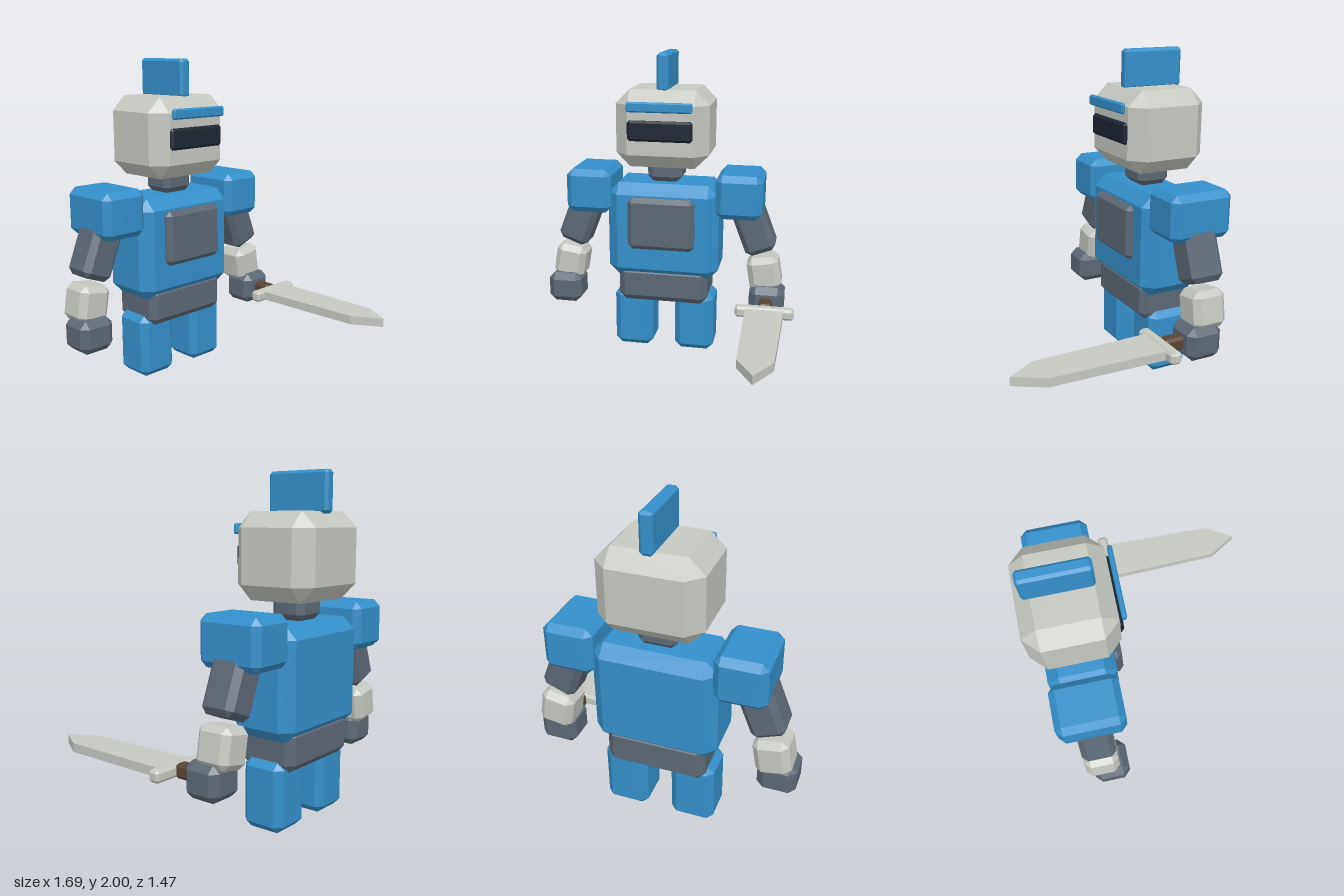
import * as THREE from 'three';
import { ConvexGeometry } from 'three/addons/geometries/ConvexGeometry.js';

function material(name, color) {
  const m = new THREE.MeshStandardMaterial({ color });
  m.name = name;
  return m;
}

// Box with flat chamfered edges and corners
function chamferBox(w, h, d, c) {
  const points = [];
  for (const x of [-w / 2, w / 2]) for (const y of [-h / 2, h / 2]) for (const z of [-d / 2, d / 2]) {
    const ix = x - Math.sign(x) * c, iy = y - Math.sign(y) * c, iz = z - Math.sign(z) * c;
    points.push(new THREE.Vector3(x, iy, iz), new THREE.Vector3(ix, y, iz), new THREE.Vector3(ix, iy, z));
  }
  return new ConvexGeometry(points);
}

export function createModel() {
  const root = new THREE.Group();
  root.name = 'armouredKnight';
  const blue = material('blueArmour', 0x3490cb);
  const slate = material('slateGrey', 0x5c6875);
  const pale = material('paleMetal', 0xc5c9c1);
  const dark = material('darkVisor', 0x1c2632);
  const brown = material('brownGrip', 0x5a4535);

  // Part given by its centre, size and chamfer
  function block(parent, name, mat, [x, y, z], [w, h, d], chamfer, tilt = 0) {
    const mesh = new THREE.Mesh(chamferBox(w, h, d, chamfer), mat);
    mesh.name = name;
    mesh.position.set(x, y, z);
    mesh.rotation.z = tilt;
    parent.add(mesh);
    return mesh;
  }

  // Body group: symmetric about its own x = 0
  const body = new THREE.Group();
  body.name = 'body';
  body.position.set(-0.037, 0, -0.48);
  root.add(body);

  // Head
  block(body, 'helmet', pale, [0, 1.53, 0.002], [0.6, 0.494, 0.516], 0.09);
  block(body, 'crest', blue, [0, 1.882, -0.016], [0.075, 0.236, 0.39], 0.016);
  block(body, 'visor', dark, [0, 1.53, 0.255], [0.415, 0.13, 0.05], 0.015);
  block(body, 'brow', blue, [0, 1.681, 0.287], [0.415, 0.063, 0.028], 0.009);
  block(body, 'neck', slate, [0, 1.26, 0], [0.226, 0.18, 0.215], 0.036);

  // Trunk
  block(body, 'torso', blue, [0, 0.846, 0], [0.735, 0.642, 0.41], 0.07);
  block(body, 'chestPlate', slate, [0, 0.915, 0.217], [0.44, 0.345, 0.07], 0.03);
  block(body, 'waist', slate, [0, 0.475, 0], [0.6, 0.25, 0.36], 0.045);

  // Mirrored limbs
  for (const [side, s] of [['left', 1], ['right', -1]]) {
    block(body, side + 'Leg', blue, [s * 0.208, 0.205, 0], [0.263, 0.41, 0.265], 0.042);
    block(body, side + 'Shoulder', blue, [s * 0.494, 1.103, -0.003], [0.3, 0.287, 0.405], 0.04);
    block(body, side + 'UpperArm', slate, [s * 0.581, 0.894, 0], [0.208, 0.38, 0.212], 0.035, s * 0.37);
    block(body, side + 'Forearm', pale, [s * 0.667, 0.57, 0], [0.21, 0.23, 0.215], 0.038, s * 0.17);
    block(body, side + 'Hand', slate, [s * 0.692, 0.395, 0.05], [0.23, 0.207, 0.228], 0.043);
  }

  // Sword held forward in the left hand
  const sword = new THREE.Group();
  sword.name = 'sword';
  sword.position.set(0.655, 0.396, 0);
  root.add(sword);
  block(sword, 'grip', brown, [0, 0, -0.305], [0.082, 0.082, 0.21], 0.015);
  block(sword, 'crossguard', pale, [0, 0, -0.181], [0.375, 0.072, 0.072], 0.016);

  const outline = new THREE.Shape([
    [-0.121, -0.15], [0.121, -0.15], [0.104, 0.56], [0, 0.735], [-0.104, 0.56],
  ].map(([x, z]) => new THREE.Vector2(x, z)));
  const bladeGeometry = new THREE.ExtrudeGeometry(outline, { depth: 0.054, bevelEnabled: false });
  bladeGeometry.rotateX(Math.PI / 2).translate(0, 0.027, 0);
  const blade = new THREE.Mesh(bladeGeometry, pale);
  blade.name = 'blade';
  sword.add(blade);

  return root;
}
